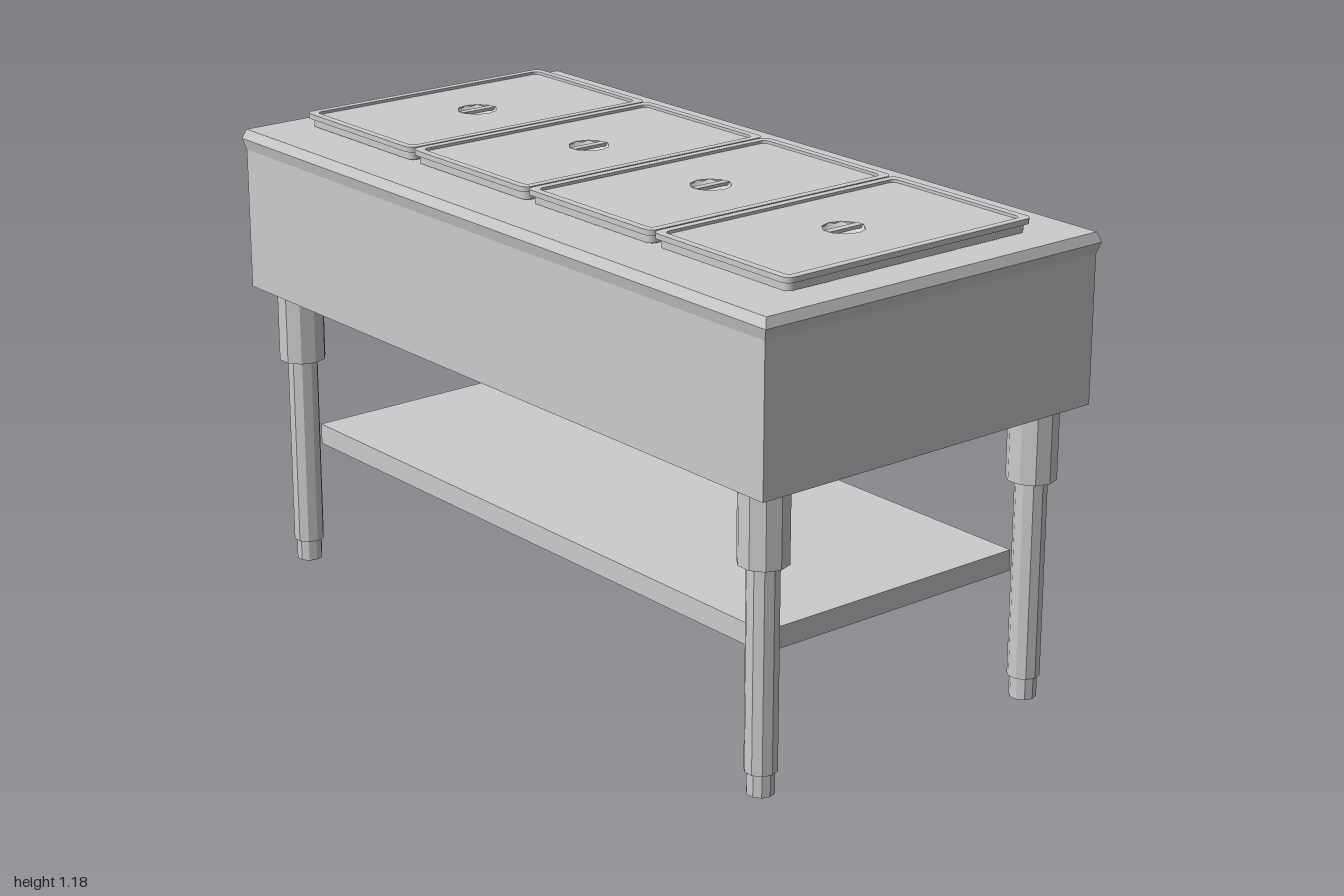
import * as THREE from 'three';

const steel = new THREE.MeshStandardMaterial({ color: 0xcccccc, flatShading: true });
const smoothSteel = new THREE.MeshStandardMaterial({ color: 0xcccccc, side: THREE.DoubleSide });

function add(parent, name, geometry, x = 0, y = 0, z = 0, material = steel) {
  const mesh = new THREE.Mesh(geometry, material);
  mesh.name = name;
  mesh.position.set(x, y, z);
  parent.add(mesh);
  return mesh;
}

// Rounded rectangle traced onto a Shape or Path
function roundedRect(path, w, d, r) {
  const x = w / 2, y = d / 2;
  path.moveTo(-x + r, -y);
  path.lineTo(x - r, -y);
  path.absarc(x - r, -y + r, r, -Math.PI / 2, 0);
  path.lineTo(x, y - r);
  path.absarc(x - r, y - r, r, 0, Math.PI / 2);
  path.lineTo(-x + r, y);
  path.absarc(-x + r, y - r, r, Math.PI / 2, Math.PI);
  path.lineTo(-x, -y + r);
  path.absarc(-x + r, -y + r, r, Math.PI, Math.PI * 1.5);
  return path;
}

// Horizontal plate standing on y = 0, with an optional hole
function plate(w, d, r, height, hole) {
  const shape = roundedRect(new THREE.Shape(), w, d, r);
  if (hole) shape.holes.push(hole);
  const geometry = new THREE.ExtrudeGeometry(shape, { depth: height, bevelEnabled: false, curveSegments: 5 });
  return geometry.rotateX(-Math.PI / 2);
}

// Cabinet box whose upper edge bulges out slightly on all four sides
function cabinetGeometry() {
  const rows = [[0.735, 0.99, 0.495], [1.095, 0.99, 0.495], [1.123, 1, 0.502], [1.147, 0.991, 0.493]];
  const geometry = new THREE.BoxGeometry(2, 3, 2, 1, 3, 1);
  const p = geometry.attributes.position;
  for (let i = 0; i < p.count; i++) {
    const [y, hx, hz] = rows[Math.round(p.getY(i) + 1.5)];
    p.setXYZ(i, p.getX(i) * hx, y, p.getZ(i) * hz);
  }
  geometry.computeVertexNormals();
  return geometry;
}

// Food pan with a rimmed lid and a recessed grip
function createPan() {
  const pan = new THREE.Group();
  pan.name = 'coveredPan';
  const w = 0.453, d = 0.735;
  const opening = (inset) => roundedRect(new THREE.Path(), w - inset, d - inset, 0.015);
  add(pan, 'panBase', plate(w - 0.04, d - 0.04, 0.015, 0.008, opening(0.06)), 0, 1.145, 0);
  add(pan, 'panWall', plate(w - 0.02, d - 0.02, 0.018, 0.021, opening(0.05)), 0, 1.151, 0);
  add(pan, 'lidRim', plate(w, d, 0.022, 0.013, opening(0.04)), 0, 1.172, 0);

  const gripHole = new THREE.Path();
  gripHole.absarc(0, 0, 0.05, 0, Math.PI * 2);
  const panel = plate(w - 0.035, d - 0.035, 0.015, 0.004, gripHole);
  add(pan, 'lidPanel', panel, 0, 1.174, 0);

  const bowl = [[0, 1.155], [0.025, 1.157], [0.042, 1.165], [0.05, 1.178]];
  const profile = bowl.map(([x, y]) => new THREE.Vector2(x, y));
  add(pan, 'gripBowl', new THREE.LatheGeometry(profile, 20), 0, 0, 0, smoothSteel);
  add(pan, 'gripBar', new THREE.BoxGeometry(0.02, 0.008, 0.1), 0, 1.175, 0);
  return pan;
}

// Ten-sided leg: thick collar, tube and foot
function createLeg() {
  const leg = new THREE.Group();
  leg.name = 'leg';
  const sections = [['legCollar', 0.06, 0.55, 0.736], ['legTube', 0.039, 0.055, 0.56], ['legFoot', 0.033, 0, 0.06]];
  for (const [name, r, bottom, top] of sections) {
    const tube = new THREE.CylinderGeometry(r, r, top - bottom, 10, 1, false, Math.PI / 2);
    add(leg, name, tube, 0, (top + bottom) / 2, 0);
  }
  return leg;
}

export function createModel() {
  const table = new THREE.Group();
  table.name = 'hotFoodTable';

  add(table, 'cabinet', cabinetGeometry());
  add(table, 'lowerShelf', new THREE.BoxGeometry(1.74, 0.053, 0.76), 0, 0.342, 0);

  // Four pans in a row
  for (let i = 0; i < 4; i++) {
    const pan = createPan();
    pan.position.set((i - 1.5) * 0.4575 - 0.002, 0, -0.003);
    table.add(pan);
  }

  // Four corner legs
  for (const x of [-0.898, 0.898]) {
    for (const z of [-0.411, 0.411]) {
      const leg = createLeg();
      leg.position.set(x, 0, z);
      table.add(leg);
    }
  }
  return table;
}
